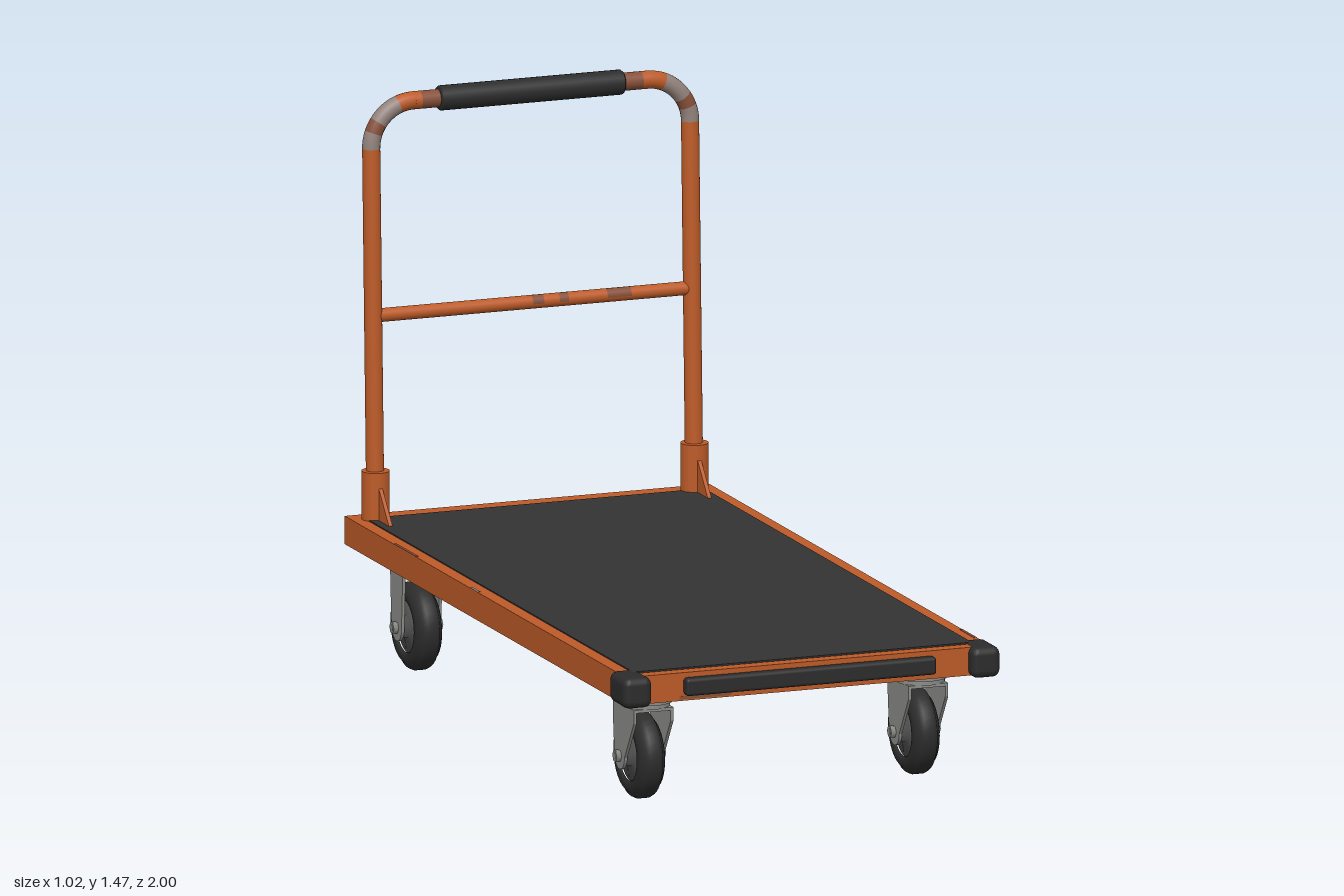
import * as THREE from 'three';
import { RoundedBoxGeometry } from 'three/addons/geometries/RoundedBoxGeometry.js';

const mat = (name, color, side = THREE.FrontSide) => {
  const m = new THREE.MeshStandardMaterial({ color, side });
  m.name = name;
  return m;
};

export function createModel() {
  const orange = mat('orange paint', 0xbd5b28);
  const worn = mat('worn paint', 0x87503a, THREE.DoubleSide);
  const bare = mat('bare metal', 0x93827c);
  const matGrey = mat('deck mat', 0x333333);
  const rubber = mat('black rubber', 0x2c2c2c);
  const hubGrey = mat('wheel hub', 0x555555);
  const steel = mat('steel', 0x8c8c89);
  const under = mat('deck underside', 0x643420);

  const model = new THREE.Group();
  model.name = 'platformTrolley';

  const add = (parent, name, geometry, material, x = 0, y = 0, z = 0) => {
    const mesh = new THREE.Mesh(geometry, material);
    mesh.name = name;
    mesh.position.set(x, y, z);
    parent.add(mesh);
    return mesh;
  };
  const box = (w, h, d) => new THREE.BoxGeometry(w, h, d);
  const rod = (r, len, sides = 24) => new THREE.CylinderGeometry(r, r, len, sides);
  const rodX = (r, len, sides) => rod(r, len, sides).rotateZ(Math.PI / 2);

  // Deck frame, mat, underside and cross members
  const deck = new THREE.Group();
  deck.name = 'deck';
  model.add(deck);
  for (const s of [-1, 1]) add(deck, 'sideRail', box(0.035, 0.073, 1.95), orange, s * 0.4775, 0.3315, -0.01);
  add(deck, 'frontRail', box(0.92, 0.073, 0.035), orange, 0, 0.3315, 0.9475);
  add(deck, 'backRail', box(0.92, 0.073, 0.045), orange, 0, 0.3315, -0.9625);
  add(deck, 'deckPanel', box(0.92, 0.05, 1.87), under, 0, 0.335, -0.005);
  add(deck, 'mat', box(0.92, 0.011, 1.855), matGrey, 0, 0.3655, -0.0025);
  for (const z of [0.54, -0.02, -0.57]) add(deck, 'crossMember', box(0.92, 0.01, 0.04), orange, 0, 0.304, z);

  // Scuffs on the frame
  add(deck, 'railScuff', box(0.008, 0.002, 0.15), worn, -0.491, 0.368, -0.57);
  add(deck, 'railScuff', box(0.008, 0.002, 0.1), worn, 0.491, 0.368, 0.82);
  add(deck, 'railScuff', box(0.008, 0.002, 0.05), bare, -0.491, 0.368, -0.09);
  add(deck, 'frontScuff', box(0.14, 0.008, 0.002), worn, -0.28, 0.303, 0.965);

  // Rubber bumpers
  for (const s of [-1, 1]) {
    add(deck, 'cornerBumper', new RoundedBoxGeometry(0.077, 0.08, 0.118, 2, 0.02), rubber, s * 0.473, 0.331, 0.941);
  }
  add(deck, 'frontBumper', new RoundedBoxGeometry(0.68, 0.046, 0.03, 2, 0.009), rubber, 0, 0.333, 0.976);

  // Sockets and gussets holding the handle
  const gusset = new THREE.Shape([[-0.9, 0.367], [-0.82, 0.367], [-0.895, 0.455]].map(p => new THREE.Vector2(...p)));
  for (const s of [-1, 1]) {
    add(model, 'handleSocket', rod(0.036, 0.13), orange, s * 0.433, 0.428, -0.929);
    const g = new THREE.ExtrudeGeometry(gusset, { depth: 0.01, bevelEnabled: false }).rotateY(-Math.PI / 2);
    add(model, 'gusset', g, orange, s * 0.433 + 0.005, 0, 0);
  }

  // Push handle, leaning slightly back
  const handle = new THREE.Group();
  handle.name = 'handle';
  handle.position.set(0, 0.37, -0.93);
  handle.rotation.x = -0.031;
  model.add(handle);
  const R = 0.115, X = 0.433, H = 1.067, r = 0.023;
  const bend = (from, to) => new THREE.TorusGeometry(R, r, 20, 8, to - from).rotateZ(from);
  for (const s of [-1, 1]) {
    add(handle, 'upright', rod(r, H - R), orange, s * X, (H - R) / 2, 0);
    // Bend in lengths of bare, worn and sound paint
    const cuts = [0, 0.35, 0.6, 1.2, Math.PI / 2];
    [bare, worn, bare, orange].forEach((material, i) => {
      const a = s > 0 ? cuts[i] : Math.PI - cuts[i + 1];
      const b = s > 0 ? cuts[i + 1] : Math.PI - cuts[i];
      add(handle, 'handleBend', bend(a, b), material, s * (X - R), H - R, 0);
    });
    add(handle, 'wornTopBar', rodX(r, 0.05), worn, s * 0.275, H, 0);
    add(handle, 'topBarEnd', rodX(r, 0.018), orange, s * 0.309, H, 0);
  }
  add(handle, 'topBar', rodX(r, 0.5), orange, 0, H, 0);
  add(handle, 'crossBar', rodX(0.0175, 0.85), orange, 0, 0.521, 0);
  // Scuffs wrapped round part of the cross bar
  for (const [x, len] of [[0.01, 0.03], [0.08, 0.025], [0.23, 0.065]]) {
    const g = new THREE.CylinderGeometry(0.0182, 0.0182, len, 8, 1, true, -0.2, 1.5).rotateZ(Math.PI / 2);
    add(handle, 'barScuff', g, worn, x, 0.521, 0);
  }
  const grip = [[0, -0.25], [0.028, -0.25], [0.032, -0.245], [0.032, 0.245], [0.028, 0.25], [0, 0.25]];
  add(handle, 'grip', new THREE.LatheGeometry(grip.map(p => new THREE.Vector2(...p)), 24).rotateZ(Math.PI / 2), rubber, 0, H, 0);

  // Wheel profiles: radius, offset along the axle
  const lathe = pts => new THREE.LatheGeometry(pts.map(p => new THREE.Vector2(...p)), 40).rotateZ(Math.PI / 2);
  const tyreGeo = lathe([[0.066, -0.028], [0.072, -0.035], [0.09, -0.035], [0.098, -0.027], [0.108, -0.022],
    [0.113, -0.012], [0.113, 0.012], [0.108, 0.022], [0.098, 0.027], [0.09, 0.035], [0.072, 0.035], [0.066, 0.028]]);
  const hubGeo = lathe([[0, -0.04], [0.028, -0.04], [0.03, -0.024], [0.068, -0.024],
    [0.068, 0.024], [0.03, 0.024], [0.028, 0.04], [0, 0.04]]);

  // Fork leg: outline around the axle, running up to the top edge from z0 to z1
  const legGeometry = (z0, z1, top) => {
    const s = new THREE.Shape();
    s.moveTo(z0, top);
    s.lineTo(z0, top - 0.035);
    s.lineTo(-0.035, 0);
    s.absarc(0, 0, 0.035, Math.PI, Math.PI * 2, false);
    s.lineTo(z1, top - 0.035);
    s.lineTo(z1, top);
    s.closePath();
    return new THREE.ExtrudeGeometry(s, { depth: 0.008, bevelEnabled: false }).rotateY(-Math.PI / 2);
  };

  const caster = (x, z, swivel) => {
    const c = new THREE.Group();
    c.name = swivel ? 'swivelCaster' : 'fixedCaster';
    c.position.set(x, 0.113, z);
    model.add(c);
    const mid = swivel ? 0.045 : 0;
    const top = swivel ? 0.138 : 0.168;
    const [z0, z1] = swivel ? [-0.045, 0.1] : [-0.043, 0.043];
    add(c, 'tyre', tyreGeo, rubber);
    add(c, 'hub', hubGeo, hubGrey);
    for (const s of [-1, 1]) {
      add(c, 'forkLeg', legGeometry(z0, z1, top), steel, s * 0.05 + 0.004, 0, 0);
      add(c, 'axleNut', rodX(0.016, 0.014, 6), steel, s * 0.06, 0, 0);
    }
    add(c, 'axle', rodX(0.009, 0.136, 12), steel);
    add(c, 'forkBridge', box(0.108, 0.008, z1 - z0), steel, 0, top - 0.004, (z0 + z1) / 2);
    if (swivel) {
      // Stepped swivel bearing
      add(c, 'swivelRing', rod(0.062, 0.012, 32), steel, 0, 0.143, mid);
      add(c, 'swivelRace', rod(0.07, 0.01, 32), steel, 0, 0.154, mid);
      add(c, 'swivelCap', rod(0.08, 0.01, 32), steel, 0, 0.164, mid);
    }
    add(c, 'mountPlate', box(0.185, 0.014, 0.185), steel, 0, 0.175, mid);
    for (const i of [-1, 1]) for (const j of [-1, 1]) {
      add(c, 'plateBolt', rod(0.011, 0.006, 6), steel, i * 0.075, 0.166, mid + j * 0.075);
    }
  };
  for (const s of [-1, 1]) {
    caster(s * 0.373, 0.745, true);
    caster(s * 0.373, -0.8, false);
  }

  return model;
}
